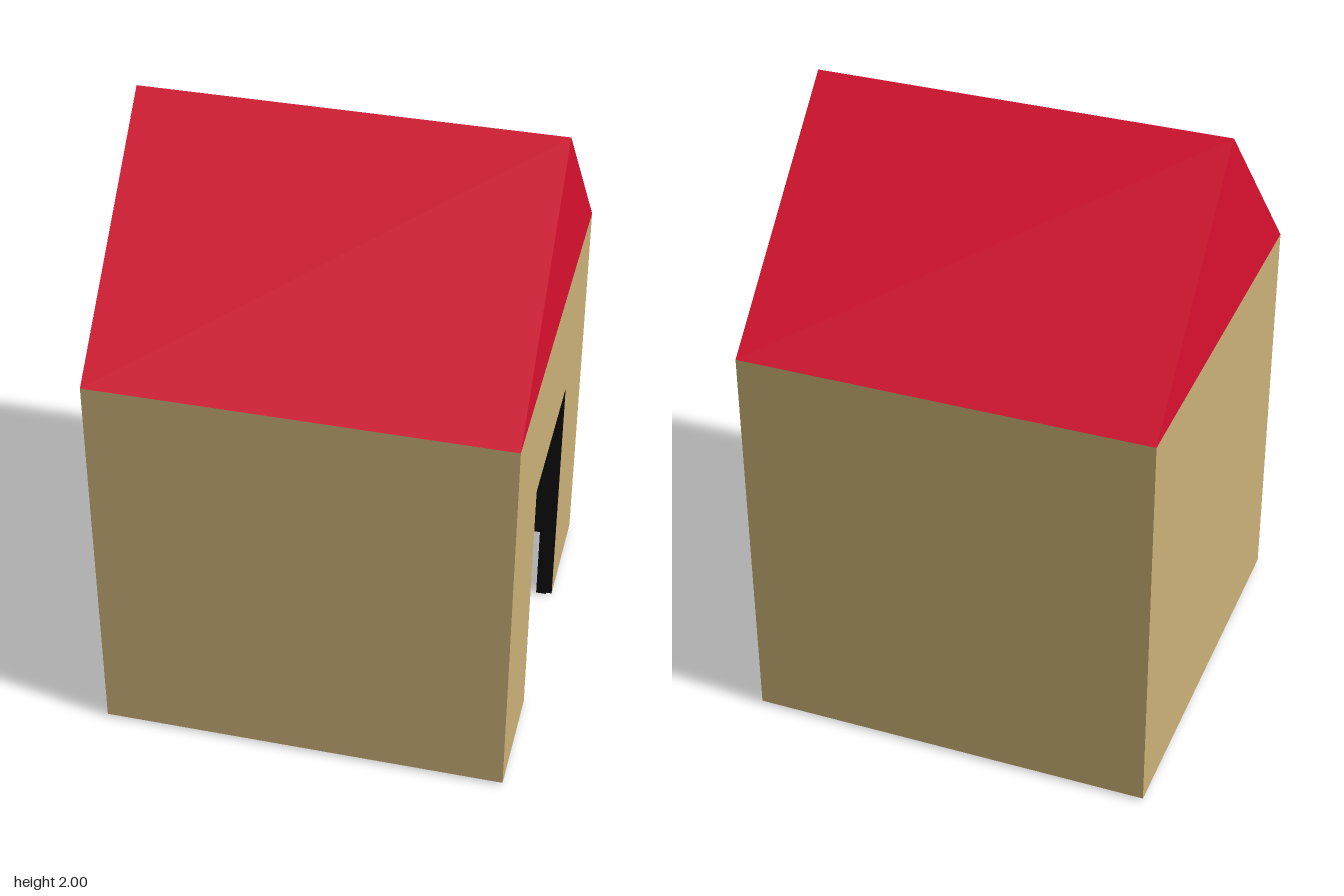
import * as THREE from 'three';

const HALF = 0.66, BASE = 0.01, EAVES = 1.34, RIDGE = 2;
const DOOR_HALF = 0.277, DOOR_TOP = 0.9;
const SKIN = 0.02, LINING = 0.035;

export function createModel() {
  const group = new THREE.Group();
  const material = (name, color) => {
    const m = new THREE.MeshStandardMaterial({ color });
    m.name = name;
    return m;
  };
  const tan = material('tan', 0xcbb177);
  const red = material('red', 0xdb0f2f);
  const black = material('black', 0x0d0d0d);

  const add = (name, geometry, mat) => {
    const mesh = new THREE.Mesh(geometry, mat);
    mesh.name = name;
    group.add(mesh);
    return mesh;
  };
  const box = (name, mat, w, h, d, x, y, z) =>
    add(name, new THREE.BoxGeometry(w, h, d), mat).position.set(x, y, z);

  // Extrude an outline drawn across z and y so that it runs along x
  const extrudeX = (name, mat, points, x0, depth) => {
    const shape = new THREE.Shape(points.map(([a, b]) => new THREE.Vector2(a, b)));
    const geometry = new THREE.ExtrudeGeometry(shape, { depth, bevelEnabled: false });
    geometry.rotateY(Math.PI / 2).translate(x0, 0, 0);
    return add(name, geometry, mat);
  };

  // Four walls around a square, with a doorway in the +x wall
  const wallRing = (name, mat, half, thick, bottom, top) => {
    const h = top - bottom, y = (top + bottom) / 2;
    for (const [side, s] of [['Front', 1], ['Back', -1]]) {
      box(name + side, mat, 2 * half, h, thick, 0, y, s * (half - thick / 2));
    }
    const inner = half - thick;
    box(name + 'Rear', mat, thick, h, 2 * inner, -half + thick / 2, y, 0);
    extrudeX(name + 'Door', mat, [
      [-inner, bottom], [-DOOR_HALF, bottom], [-DOOR_HALF, DOOR_TOP], [DOOR_HALF, DOOR_TOP],
      [DOOR_HALF, bottom], [inner, bottom], [inner, top], [-inner, top],
    ], half - thick, thick);
  };
  wallRing('outerWall', tan, HALF, SKIN, BASE, EAVES);
  wallRing('innerWall', black, HALF - SKIN, LINING, 0, EAVES - 0.01);

  // Dark ceiling closing the open-bottomed room
  const room = 2 * (HALF - SKIN - LINING);
  box('ceiling', black, room, 0.03, room, 0, EAVES - 0.025, 0);

  // Thin facings inside the doorway
  const depth = SKIN + LINING - 0.001, jambX = HALF - (SKIN + LINING) / 2;
  const t = 0.004, jambH = DOOR_TOP - BASE, jambY = (DOOR_TOP + BASE) / 2;
  box('doorJambBack', black, depth, jambH, t, jambX, jambY, -DOOR_HALF + t / 2);
  box('doorJambFront', tan, depth, jambH, t, jambX, jambY, DOOR_HALF - t / 2);
  box('doorHead', black, depth, t, 2 * DOOR_HALF, jambX, DOOR_TOP - t / 2, 0);

  // Gabled roof with its ridge along x
  extrudeX('roof', red, [[-HALF, EAVES], [HALF, EAVES], [0, RIDGE]], -HALF, 2 * HALF);

  return group;
}
